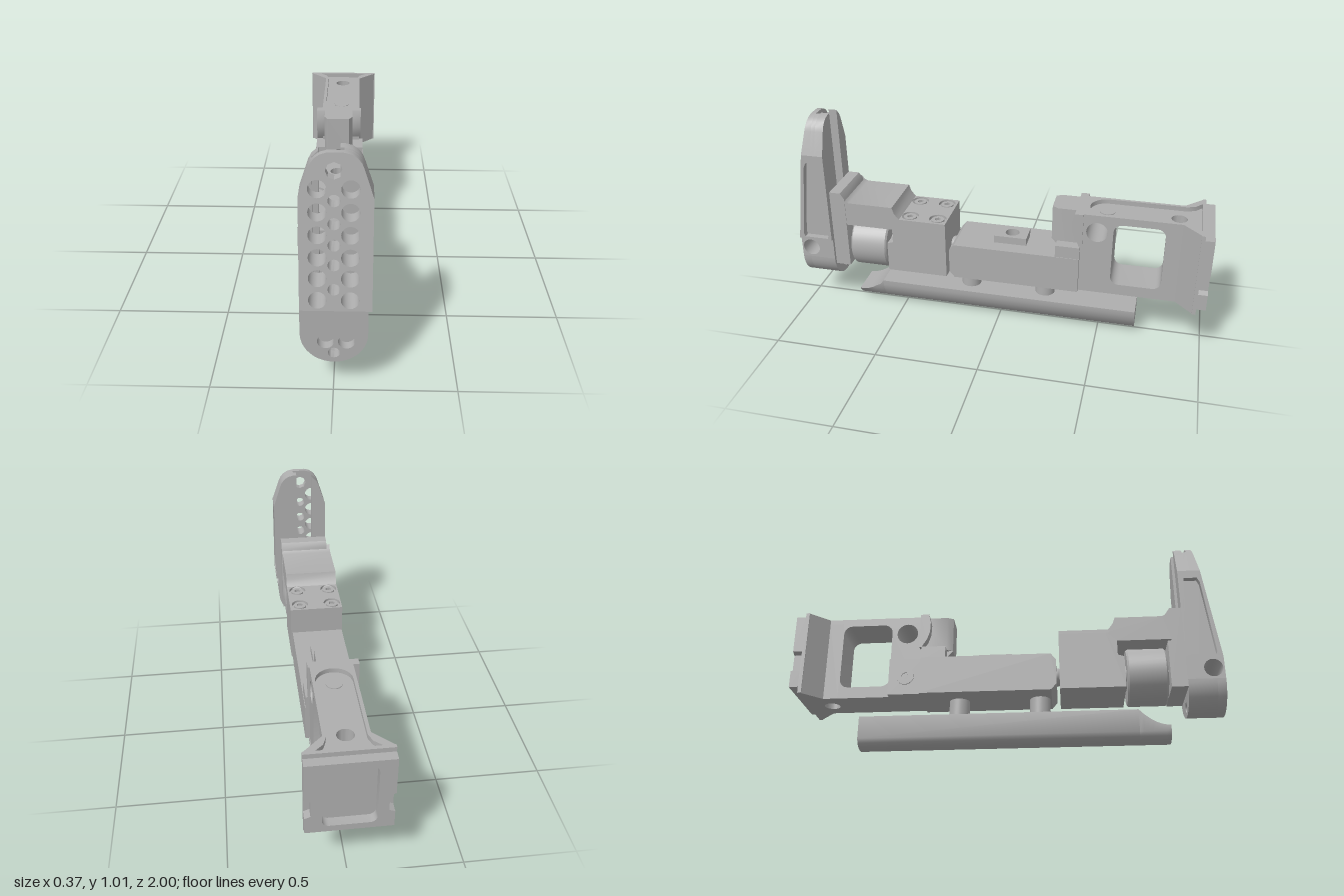
import * as THREE from 'three';
import { toCreasedNormals } from 'three/addons/utils/BufferGeometryUtils.js';

export function createModel() {
  const root = new THREE.Group();
  const metal = new THREE.MeshStandardMaterial({ color: 0xaeaeae });
  metal.name = 'grey metal';

  function add(name, geo, parent = root) {
    const m = new THREE.Mesh(toCreasedNormals(geo, 0.6), metal);
    m.name = name;
    parent.add(m);
    return m;
  }
  // points on an arc
  function arc(cx, cy, r, a0, a1, n = 12) {
    return Array.from({ length: n + 1 }, (_, i) => {
      const a = a0 + (a1 - a0) * i / n;
      return [cx + r * Math.cos(a), cy + r * Math.sin(a)];
    });
  }
  const disc = (x, y, r, n = 24) => arc(x, y, r, 0, Math.PI * 2 * (n - 1) / n, n - 1);
  function roundRect(x0, x1, y0, y1, r) {
    const q = Math.PI / 2;
    return [...arc(x1 - r, y0 + r, r, -q, 0, 5), ...arc(x1 - r, y1 - r, r, 0, q, 5),
      ...arc(x0 + r, y1 - r, r, q, 2 * q, 5), ...arc(x0 + r, y0 + r, r, 2 * q, 3 * q, 5)];
  }
  // outlines are always wound the same way, so hole walls face inwards
  function extrude(pts, depth, holes, sx, sy, steps = 1) {
    const vec = list => {
      const v = list.map(([a, b]) => new THREE.Vector2(a * sx, b * sy));
      return THREE.ShapeUtils.isClockWise(v) ? v.reverse() : v;
    };
    const shape = new THREE.Shape(vec(pts));
    shape.holes = holes.map(h => new THREE.Path(vec(h)));
    return new THREE.ExtrudeGeometry(shape, { depth, steps, bevelEnabled: false });
  }
  // extrusions along x (points z,y), along y (points x,z) and along z (points x,y)
  const alongX = (pts, x0, x1, holes = []) =>
    extrude(pts, x1 - x0, holes, -1, 1).rotateY(Math.PI / 2).translate(x0, 0, 0);
  const alongY = (pts, y0, y1, holes = []) =>
    extrude(pts, y1 - y0, holes, 1, -1).rotateX(-Math.PI / 2).translate(0, y0, 0);
  const alongZ = (pts, z0, z1, holes = [], steps = 1) =>
    extrude(pts, z1 - z0, holes, 1, 1, steps).translate(0, 0, z0);
  const rect = (a0, a1, b0, b1) => [[a0, b0], [a1, b0], [a1, b1], [a0, b1]];
  const box = (x0, x1, y0, y1, z0, z1) => alongZ(rect(x0, x1, y0, y1), z0, z1);

  // ---- butt plate with sloping, drilled face
  const butt = new THREE.Group();
  butt.name = 'buttPlate';
  root.add(butt);
  const holes = [disc(0.003, 0.945, 0.033, 8)];
  for (const y of [0.43, 0.52, 0.605, 0.695, 0.785, 0.875])
    for (const x of [-0.06, 0.065]) holes.push(disc(x, y, 0.035));
  for (const y of [0.475, 0.575, 0.655, 0.74, 0.83]) holes.push(disc(0.003, y, 0.024, 16));
  const rightEdge = [[0.12, 0.385], [0.12, 0.84], [0.15, 0.84], [0.114, 0.95], [0.105, 0.972], [0.09, 0.991],
    [0.07, 1.005], [0.04, 1.013]];
  const leftEdge = [[-0.084, 0.972], [-0.095, 0.95], [-0.13, 0.84], [-0.1, 0.84], [-0.1, 0.385]];
  const face = alongZ([...rightEdge, [-0.025, 1.013], [-0.05, 1.005], [-0.07, 0.991], ...leftEdge], 0.89, 1, holes);
  const p = face.attributes.position;
  for (let i = 0; i < p.count; i++)
    if (p.getZ(i) > 0.95) p.setZ(i, 1 - (p.getY(i) - 0.385) * 0.136);
  face.computeVertexNormals();
  add('drilledFace', face, butt);
  // rear rails forming a T-slot
  for (const [z0, z1, l, r, top] of [[0.83, 0.87, -0.057, 0.025, 1], [0.87, 0.89, -0.08, 0.04, 0.975]]) {
    add('slotRailLeft', alongZ([[r, 0.385], ...rightEdge, [r, 1.013]], z0, z1), butt);
    add('slotRailRight', alongZ([[l, 0.385], [l, top], ...leftEdge], z0, z1), butt);
  }
  // side skins with long pockets
  const pocket = [[0.975, 0.41], [0.97, 0.395], [0.85, 0.395], [0.842, 0.42], [0.85, 0.76],
    [0.858, 0.8], [0.92, 0.8], [0.932, 0.775]];
  for (const [x0, x1] of [[0.12, 0.15], [-0.13, -0.1]])
    add('sideSkin', alongX([[0.83, 0.385], [1, 0.385], [0.9381, 0.84], [0.83, 0.84]], x0, x1, [pocket]), butt);
  // cross-drilled middle and rounded toe
  add('crossBlock', alongX(rect(0.83, 1, 0.275, 0.385), -0.13, 0.136, [disc(0.95, 0.328, 0.043)]), butt);
  const toe = arc(0.003, 0.275, 0.133, Math.PI, Math.PI * 2, 20);
  const toeHole = disc(0.003, 0.187, 0.024, 12);
  add('toeFront', alongZ(toe, 0.96, 1, [toeHole, disc(-0.03, 0.241, 0.033), disc(0.052, 0.241, 0.033)]), butt);
  add('toeBack', alongZ(toe, 0.83, 0.96, [toeHole]), butt);

  // ---- clamp body, adjusting wheel and bolts
  add('clampBody', alongX([[0.25, 0.24], [0.55, 0.24], [0.55, 0.39], [0.52, 0.4], [0.52, 0.47], [0.77, 0.47],
    [0.77, 0.62], [0.755, 0.6], [0.735, 0.59], [0.515, 0.59], [0.505, 0.56], [0.49, 0.54], [0.47, 0.515],
    [0.25, 0.515]], -0.148, 0.117));
  add('buttMount', alongX([[0.83, 0.24], [0.83, 0.64], [0.775, 0.64], [0.755, 0.61], [0.755, 0.24]], -0.13, 0.12));
  const bolts = [[-0.1, 0.3], [0.065, 0.3], [-0.1, 0.44], [0.065, 0.44]];
  add('clampTop', alongY(rect(-0.148, 0.117, 0.25, 0.488), 0.515, 0.53, bolts.map(([x, z]) => disc(x, z, 0.042))));
  for (const [x, z] of bolts)
    add('clampBolt', alongY(disc(x, z, 0.031), 0.514, 0.528, [disc(x, z, 0.016, 6)]));
  add('adjustingWheel', new THREE.LatheGeometry([[0, 0], [0.127, 0], [0.135, 0.008], [0.135, 0.177], [0.127, 0.185], [0, 0.185]]
    .map(([a, b]) => new THREE.Vector2(a, b)), 40).rotateX(Math.PI / 2).translate(-0.015, 0.335, 0.56));
  add('wheelShaft', new THREE.CylinderGeometry(0.06, 0.06, 0.26, 24).rotateX(Math.PI / 2).translate(-0.015, 0.335, 0.65));
  add('pivot', new THREE.SphereGeometry(0.045, 20, 12).translate(-0.015, 0.35, 0.23));

  // ---- middle bar
  add('middleBar', alongX([[0.21, 0.24], [0.235, 0.27], [0.235, 0.39], [0.21, 0.42], [-0.4, 0.42], [-0.4, 0.24]], -0.14, 0.113));
  add('barExtension', box(-0.13, -0.09, 0.24, 0.42, -0.548, -0.39));
  add('sideBolt', alongX(disc(-0.47, 0.33, 0.042), -0.136, -0.12, [disc(-0.47, 0.33, 0.018, 6)]));
  add('barNut', alongY(rect(-0.065, 0.04, -0.133, 0.027), 0.419, 0.457, [disc(-0.013, -0.055, 0.034)]));

  // ---- rear frame
  const frame = new THREE.Group();
  frame.name = 'rearFrame';
  root.add(frame);
  add('windowFrame', alongX(rect(-0.795, -0.39, 0.24, 0.63), -0.1, 0.092,
    [roundRect(-0.788, -0.55, 0.295, 0.615, 0.04), disc(-0.475, 0.565, 0.05)]), frame);
  const flare = [[-0.1, -0.79], [0.092, -0.79], [0.092, -0.86], [0.18, -0.945], [-0.185, -0.945], [-0.1, -0.86]];
  add('flaredPillar', alongY(flare, 0.24, 0.63, [disc(-0.003, -0.84, 0.037)]), frame);
  // raised lip around the top recess
  add('topLip', alongY([[-0.1, -0.39], [-0.1, -0.86], [-0.185, -0.945], [-0.14, -0.945], [-0.1, -0.91], [-0.085, -0.87],
    ...arc(-0.003, -0.51, 0.082, Math.PI, 0, 14), [0.079, -0.87], [0.094, -0.91], [0.135, -0.945],
    [0.18, -0.945], [0.092, -0.86], [0.092, -0.39]], 0.63, 0.652), frame);
  add('topScrew', alongY(disc(-0.003, -0.51, 0.037), 0.629, 0.634), frame);
  // chamfered front block on its base, with scooped cheeks beside the cross hole
  add('frontBlock', alongY([[-0.07, -0.257], [0.04, -0.257], [0.058, -0.285], [0.058, -0.4], [-0.085, -0.4],
    [-0.085, -0.285]], 0.48, 0.652), frame);
  add('blockToe', alongX([[-0.257, 0.48], [-0.285, 0.45], [-0.32, 0.45], [-0.32, 0.48]], -0.07, 0.04), frame);
  add('blockBase', box(-0.13, 0.11, 0.41, 0.48, -0.4, -0.285), frame);
  const cheek = [[-0.41, 0.652], [-0.37, 0.652], [-0.36, 0.61], [-0.362, 0.56], [-0.375, 0.52], [-0.4, 0.48], [-0.41, 0.48]];
  for (const [x0, x1] of [[0.05, 0.1], [-0.128, -0.08]])
    add('blockCheek', alongX(cheek, x0, x1), frame);

  // ---- end plate with recess and notched sides
  const endOutline = [[-0.185, 0.27], [0.18, 0.27], [0.18, 0.35], [0.155, 0.36], [0.155, 0.44], [0.18, 0.45], [0.18, 0.63],
    [-0.185, 0.63], [-0.185, 0.45], [-0.16, 0.44], [-0.16, 0.36], [-0.185, 0.35]];
  add('endPlate', alongZ(endOutline, -1, -0.955, [roundRect(-0.115, 0.11, 0.3, 0.6, 0.03)]));
  add('endFlange', box(-0.185, 0.18, 0.24, 0.652, -0.957, -0.94));

  // ---- lower hand rest with scooped nose, on two posts
  const rest = [[-0.105, 0.145], [-0.105, 0.04], [-0.095, 0.02], [-0.075, 0.008], [-0.045, 0.001], [-0.015, 0.004],
    [0.015, 0.016], [0.04, 0.036], [0.06, 0.062], [0.075, 0.09], [0.084, 0.12], [0.085, 0.145]];
  add('handRest', alongZ(rest, -0.68, 0.6));
  const nose = alongZ(rest, 0.6, 0.74, [], 7);
  const q = nose.attributes.position;
  for (let i = 0; i < q.count; i++) {
    const t = (q.getZ(i) - 0.6) / 0.14;
    const top = 0.068 + 0.077 * (1 - t) * (1 - t);
    if (q.getY(i) > top) {
      if (q.getX(i) > 0) q.setX(i, Math.min(q.getX(i), 0.064 + 0.021 * (1 - t)));
      q.setY(i, top);
    }
  }
  nose.computeVertexNormals();
  add('handRestNose', nose);
  for (const z of [0.155, -0.225])
    add('post', new THREE.CylinderGeometry(0.048, 0.048, 0.12, 24).translate(-0.01, 0.19, z));

  return root;
}
